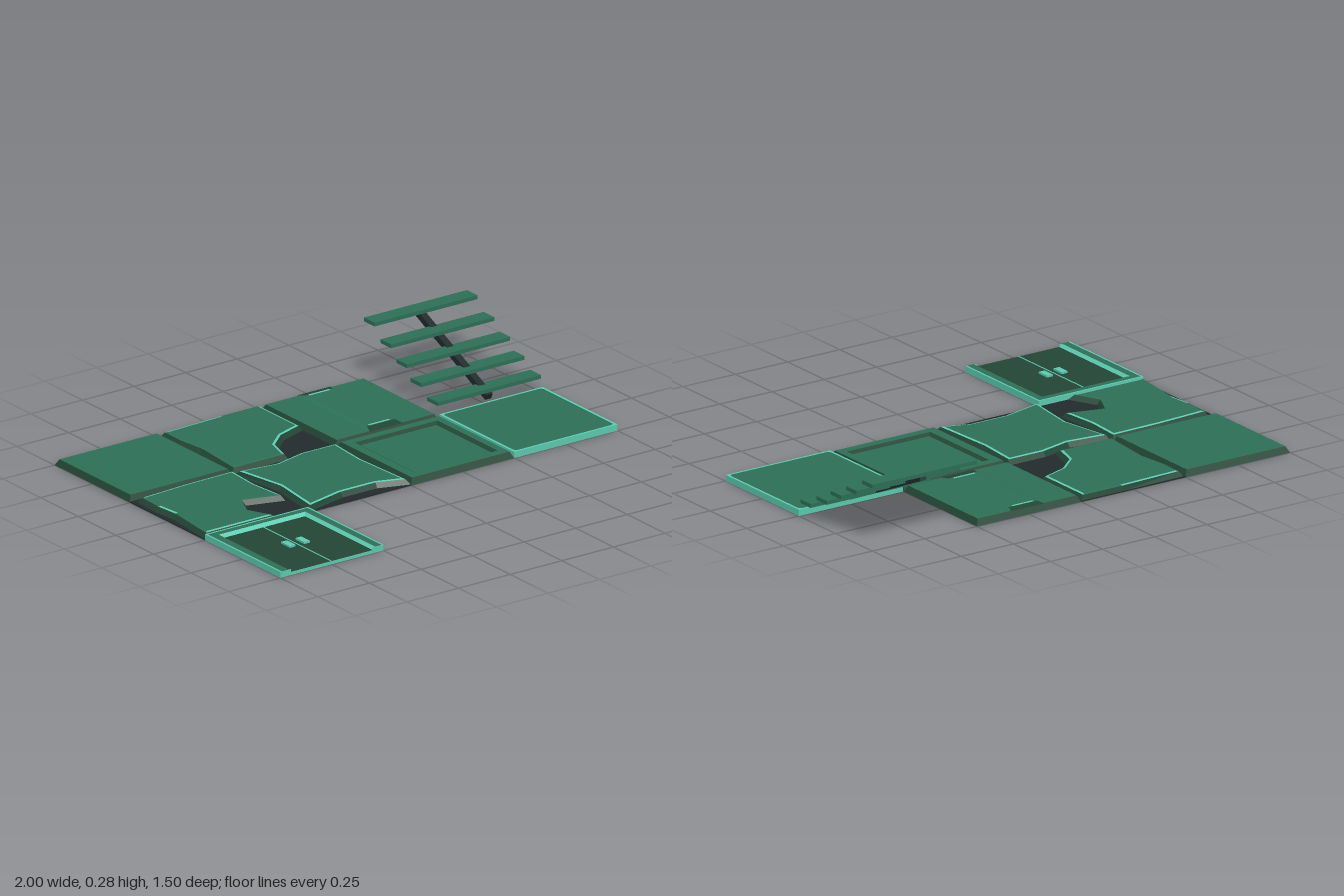
import * as THREE from 'three';

const mat = (name, color) => {
  const m = new THREE.MeshStandardMaterial({ color, side: THREE.DoubleSide, flatShading: true });
  m.name = name;
  return m;
};

export function createModel() {
  const root = new THREE.Group();
  const green = mat('panelGreen', 0x2d7058);
  const light = mat('edgeMint', 0x5cccb0);
  const dark = mat('sideGreen', 0x234636);
  const black = mat('baseBlack', 0x222b2d);
  const TOP = 0.026;

  const add = (parent, name, geo, material) => {
    const mesh = new THREE.Mesh(geo, material);
    mesh.name = name;
    parent.add(mesh);
    return mesh;
  };
  const group = (name) => {
    const g = new THREE.Group();
    g.name = name;
    root.add(g);
    return g;
  };
  const box = (parent, name, x0, x1, y0, y1, z0, z1, material) => {
    const geo = new THREE.BoxGeometry(x1 - x0, y1 - y0, z1 - z0);
    return add(parent, name, geo.translate((x0 + x1) / 2, (y0 + y1) / 2, (z0 + z1) / 2), material);
  };

  // Loops are [x, z] points, counter-clockwise seen from above
  const rect = (x0, x1, z0, z1) => [[x0, z0], [x0, z1], [x1, z1], [x1, z0]];
  const square = (cx, cz, h) => rect(cx - h, cx + h, cz - h, cz + h);

  // Move every edge of a loop inwards by d
  const inset = (loop, d) => loop.map((p, i) => {
    const a = loop[(i + loop.length - 1) % loop.length], b = loop[(i + 1) % loop.length];
    const normal = (s, t) => {
      const dx = t[0] - s[0], dz = t[1] - s[1], l = Math.hypot(dx, dz);
      return [dz / l, -dx / l];
    };
    const n = normal(a, p), m = normal(p, b);
    const k = d / Math.max(0.4, 1 + n[0] * m[0] + n[1] * m[1]);
    return [p[0] + (n[0] + m[0]) * k, p[1] + (n[1] + m[1]) * k];
  });

  // Strip of faces between two matching loops, optionally only some edges
  const band = (parent, name, a, ya, b, yb, material, keep = () => true) => {
    const pos = [];
    a.forEach((p, i) => {
      if (!keep(i)) return;
      const j = (i + 1) % a.length;
      const A = [p[0], ya, p[1]], B = [a[j][0], ya, a[j][1]];
      const C = [b[j][0], yb, b[j][1]], D = [b[i][0], yb, b[i][1]];
      pos.push(...A, ...B, ...C, ...A, ...C, ...D);
    });
    const geo = new THREE.BufferGeometry();
    geo.setAttribute('position', new THREE.Float32BufferAttribute(pos, 3));
    geo.computeVertexNormals();
    return add(parent, name, geo, material);
  };
  const cap = (parent, name, loop, y, material) => {
    const shape = new THREE.Shape(loop.map(([x, z]) => new THREE.Vector2(x, -z)));
    return add(parent, name, new THREE.ShapeGeometry(shape).rotateX(-Math.PI / 2).translate(0, y, 0), material);
  };
  // Sloped sides of a whole tile; returns its top loop
  const slopes = (g, cx, cz) => {
    const top = square(cx, cz, 0.236);
    band(g, 'slopedSides', square(cx, cz, 0.25), 0, top, TOP, dark);
    return top;
  };

  // Plain tile
  const plain = group('plainTile');
  cap(plain, 'plainTop', slopes(plain, -0.75, -0.5), TOP, green);

  // Tile with a raised strip that slopes down at both ends
  const ridge = group('ridgeTile');
  cap(ridge, 'ridgeTileTop', slopes(ridge, 0.25, -0.5), TOP, green);
  const foot = rect(0.17, 0.33, -0.742, -0.258), crest = rect(0.185, 0.32, -0.71, -0.3);
  const isEnd = (i) => i % 2 === 1;
  band(ridge, 'ridgeEnds', foot, TOP, crest, 0.032, dark, isEnd);
  band(ridge, 'ridgeSides', foot, TOP, crest, 0.032, green, (i) => !isEnd(i));
  cap(ridge, 'ridgeTop', crest, 0.032, green);
  for (const z of [-0.705, -0.308]) box(ridge, 'ridgeEdge', 0.2, 0.3, 0.031, 0.033, z - 0.005, z + 0.005, light);

  // Tile with a sunken panel
  const sunken = group('sunkenTile');
  const rim = slopes(sunken, 0.25, 0);
  const lip = square(0.255, 0, 0.2), well = inset(lip, 0.016);
  band(sunken, 'sunkenRim', rim, TOP, lip, TOP, green);
  band(sunken, 'sunkenWalls', lip, TOP, well, 0.016, dark);
  cap(sunken, 'sunkenPanel', well, 0.016, green);

  // Tile with a bright edge and rounded panel
  const edged = group('edgedTile');
  const rounded = (h, r) => {
    const pts = [];
    [[-1, -1], [-1, 1], [1, 1], [1, -1]].forEach(([sx, sz], q) => {
      for (let k = 0; k < 4; k++) {
        const t = (q + k / 3) * Math.PI / 2;
        pts.push([0.75 + sx * (h - r) - r * Math.cos(t), sz * (h - r) - r * Math.cos(t + Math.PI / 2) * -1]);
      }
    });
    // Turn each corner arc from its incoming to its outgoing side
    return pts.map((p, i) => {
      const q = Math.floor(i / 4), t = Math.PI / 2 + (q + (i % 4) / 3) * Math.PI / 2;
      const [sx, sz] = [[-1, -1], [-1, 1], [1, 1], [1, -1]][q];
      return [0.75 + sx * (h - r) + r * Math.cos(t), sz * (h - r) - r * Math.sin(t)];
    });
  };
  const edgeOuter = rounded(0.25, 0.002), edgeInner = rounded(0.24, 0.015);
  band(edged, 'edgedSides', edgeOuter, 0, edgeOuter, TOP, light);
  band(edged, 'edgedBorder', edgeOuter, TOP, edgeInner, TOP, light);
  cap(edged, 'edgedTop', edgeInner, TOP, green);

  // Broken tiles: a dark bed with a jagged slab on it
  const broken = [
    { name: 'cornerBrokenTile', c: [-0.25, -0.5], lit: [4, 5, 6, 7, 9], loop: [
      [-0.48, -0.73], [-0.48, -0.62], [-0.465, -0.5], [-0.485, -0.265], [-0.24, -0.265],
      [-0.21, -0.37], [-0.13, -0.44], [-0.015, -0.48], [-0.015, -0.742], [-0.2, -0.742]] },
    { name: 'notchedBrokenTile', c: [-0.75, 0], lit: [1, 3, 7, 8, 9, 10], loop: [
      [-0.965, -0.215], [-0.97, -0.1], [-0.96, 0], [-0.985, 0.235], [-0.66, 0.235],
      [-0.71, 0.13], [-0.665, 0.035], [-0.51, 0.08], [-0.525, -0.08], [-0.515, -0.235], [-0.75, -0.23]] },
    { name: 'wornBrokenTile', c: [-0.25, 0], lit: [0, 1, 2, 3, 4, 5, 6, 7, 8, 9], loop: [
      [-0.49, -0.22], [-0.45, 0], [-0.48, 0.235], [-0.3, 0.19], [-0.13, 0.19],
      [-0.015, 0.23], [-0.03, -0.05], [-0.015, -0.235], [-0.18, -0.235], [-0.32, -0.2]] },
  ];
  for (const { name, c, lit, loop } of broken) {
    const g = group(name);
    box(g, 'bed', c[0] - 0.25, c[0] + 0.25, 0, 0.004, c[1] - 0.25, c[1] + 0.25, black);
    const base = inset(loop, -0.014).map((p) => p.map((v, k) => THREE.MathUtils.clamp(v, c[k] - 0.249, c[k] + 0.249)));
    const inner = inset(loop, 0.01);
    band(g, 'slabSides', base, 0.004, loop, TOP - 0.002, dark);
    band(g, 'slabBrightEdge', loop, TOP - 0.002, inner, TOP, light, (i) => lit.includes(i));
    band(g, 'slabPlainEdge', loop, TOP - 0.002, inner, TOP, green, (i) => !lit.includes(i));
    cap(g, 'slabTop', inner, TOP, green);
  }

  // Door tile: frame open at the front, sunken double door
  const door = group('doorTile');
  const U = (x0, x1, z0) => [[x0, 0.75], [x1, 0.75], [x1, z0], [x0, z0]];
  const notFront = (i) => i !== 0;
  const outer = U(-1, -0.5, 0.25), trim = U(-0.992, -0.508, 0.258);
  const frameIn = U(-0.96, -0.54, 0.285), doorEdge = U(-0.948, -0.552, 0.3);
  band(door, 'frameSides', outer, 0, outer, TOP, light, notFront);
  band(door, 'frameTrim', outer, TOP, trim, TOP, light, notFront);
  band(door, 'frameTop', trim, TOP, frameIn, TOP, green, notFront);
  band(door, 'frameBevel', frameIn, TOP, doorEdge, 0.014, light, notFront);
  cap(door, 'doorPanel', doorEdge, 0.014, dark);
  box(door, 'doorSill', -0.948, -0.552, 0, 0.012, 0.747, 0.75, light);
  for (const x of [-0.974, -0.526]) box(door, 'frameFoot', x - 0.026, x + 0.026, 0, TOP - 0.001, 0.747, 0.75, light);
  box(door, 'doorSeam', -0.756, -0.751, 0.013, 0.016, 0.3, 0.75, light);
  for (const x of [-0.787, -0.717]) box(door, 'doorHandle', x - 0.014, x + 0.014, 0.012, 0.022, 0.483, 0.54, light);

  // Open stairs: five treads on one slanted beam
  const stairs = group('stairs');
  [[-0.295, 0.065], [-0.405, 0.11], [-0.5, 0.16], [-0.605, 0.21], [-0.715, 0.267]].forEach(([z, y]) => {
    box(stairs, 'tread', 0.5, 1, y - 0.008, y + 0.008, z - 0.035, z + 0.035, green);
  });
  const rise = 0.215, run = 0.475;
  const beam = add(stairs, 'stairBeam', new THREE.BoxGeometry(0.03, 0.026, Math.hypot(rise, run)), black);
  beam.position.set(0.75, 0.146, -0.5);
  beam.rotation.x = Math.atan2(rise, run);

  return root;
}
